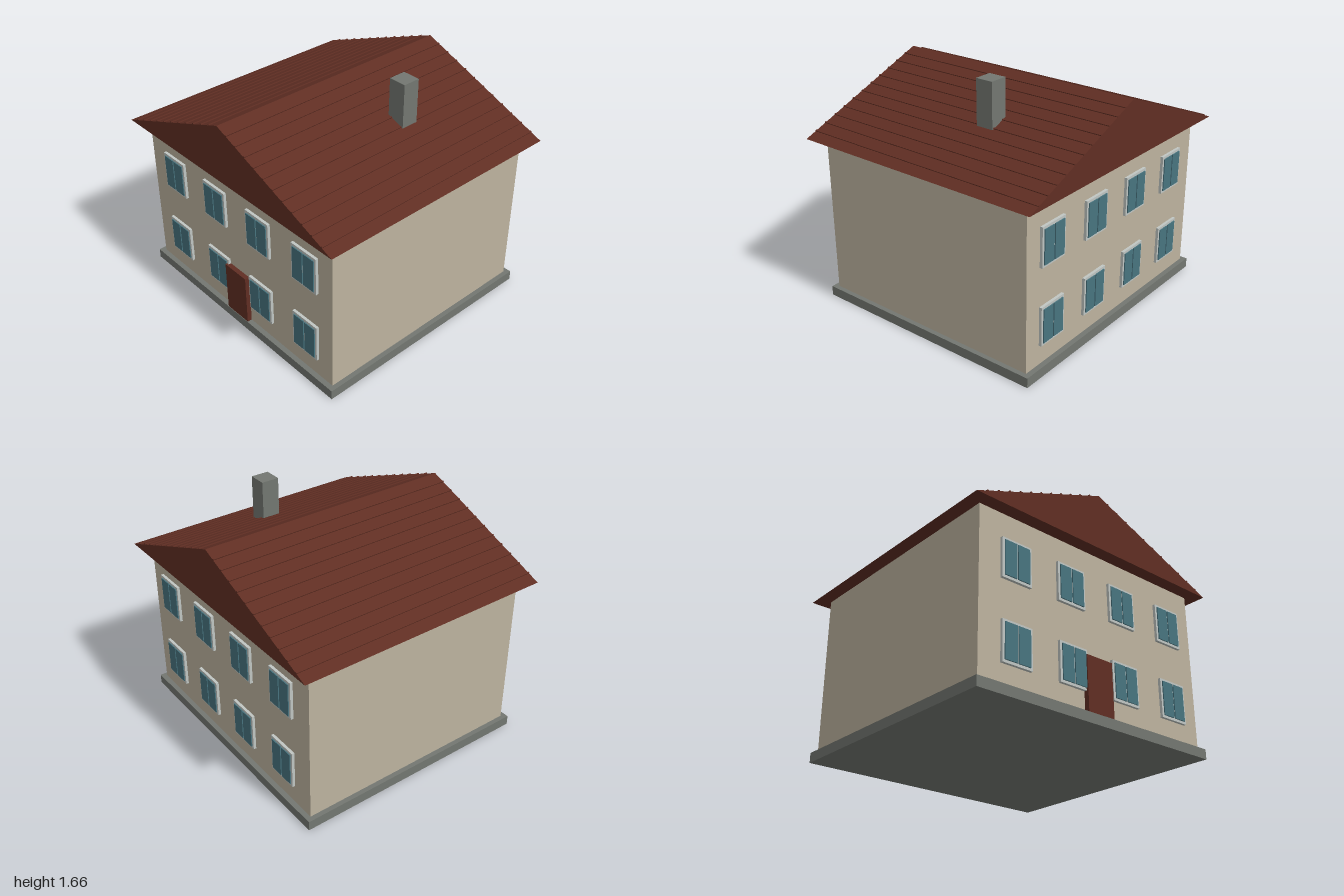
import * as THREE from 'three';

function material(name, color) {
  const m = new THREE.MeshStandardMaterial({ color });
  m.name = name;
  return m;
}

export function createModel() {
  const wall = material('beige plaster', 0xbdb39f);
  const red = material('roof red', 0x602e23);
  const stone = material('grey stone', 0x737771);
  const frame = material('window frame', 0xc0c6c3);
  const glass = material('window glass', 0x48747f);

  const house = new THREE.Group();
  house.name = 'house';

  // Box given by its lower and upper corners
  function box(name, mat, min, max, parent = house) {
    const size = max.map((v, i) => v - min[i]);
    const mesh = new THREE.Mesh(new THREE.BoxGeometry(...size), mat);
    mesh.position.set(...max.map((v, i) => (v + min[i]) / 2));
    mesh.name = name;
    parent.add(mesh);
    return mesh;
  }

  box('foundation', stone, [-0.94, 0, -0.853], [0.94, 0.067, 0.853]);
  box('walls', wall, [-0.907, 0.067, -0.817], [0.907, 1.16, 0.817]);
  box('chimney', stone, [0.39, 1.3, -0.245], [0.515, 1.656, -0.122]);
  box('door', red, [-0.105, 0.067, 0.817], [0.105, 0.43, 0.85]);

  // Solid gable roof
  const eaves = 1.16, rise = 0.395, halfDepth = 0.907;
  const gable = new THREE.Shape();
  gable.moveTo(-1, eaves);
  gable.lineTo(1, eaves);
  gable.lineTo(0, eaves + rise);
  const roofGeometry = new THREE.ExtrudeGeometry(gable, { depth: halfDepth * 2, bevelEnabled: false });
  roofGeometry.translate(0, 0, -halfDepth);
  const roof = new THREE.Mesh(roofGeometry, red);
  roof.name = 'roof';
  house.add(roof);

  // Thin battens running along both slopes
  const battens = new THREE.Group();
  battens.name = 'roofBattens';
  house.add(battens);
  for (const side of [-1, 1]) {
    for (let i = 1; i < 12; i++) {
      const x = i / 12;
      const y = eaves + rise * (1 - x);
      const batten = box('batten', red, [-0.005, -0.006, -halfDepth], [0.005, 0.007, halfDepth], battens);
      batten.position.set(side * x, y, 0);
      batten.rotation.z = -side * Math.atan(rise);
    }
  }

  // Two rows of four double-pane windows on the front and back
  for (const side of [-1, 1]) {
    for (const y of [0.333, 0.859]) {
      for (let i = 0; i < 4; i++) {
        const win = new THREE.Group();
        win.name = side > 0 ? 'frontWindow' : 'backWindow';
        win.position.set(-0.637 + i * 0.437, y, side * 0.817);
        if (side < 0) win.rotation.y = Math.PI;
        box('windowFrame', frame, [-0.111, -0.132, -0.005], [0.111, 0.132, 0.019], win);
        for (const x of [-0.05, 0.05]) {
          box('pane', glass, [x - 0.045, -0.115, 0.019], [x + 0.045, 0.115, 0.026], win);
        }
        house.add(win);
      }
    }
  }

  return house;
}
